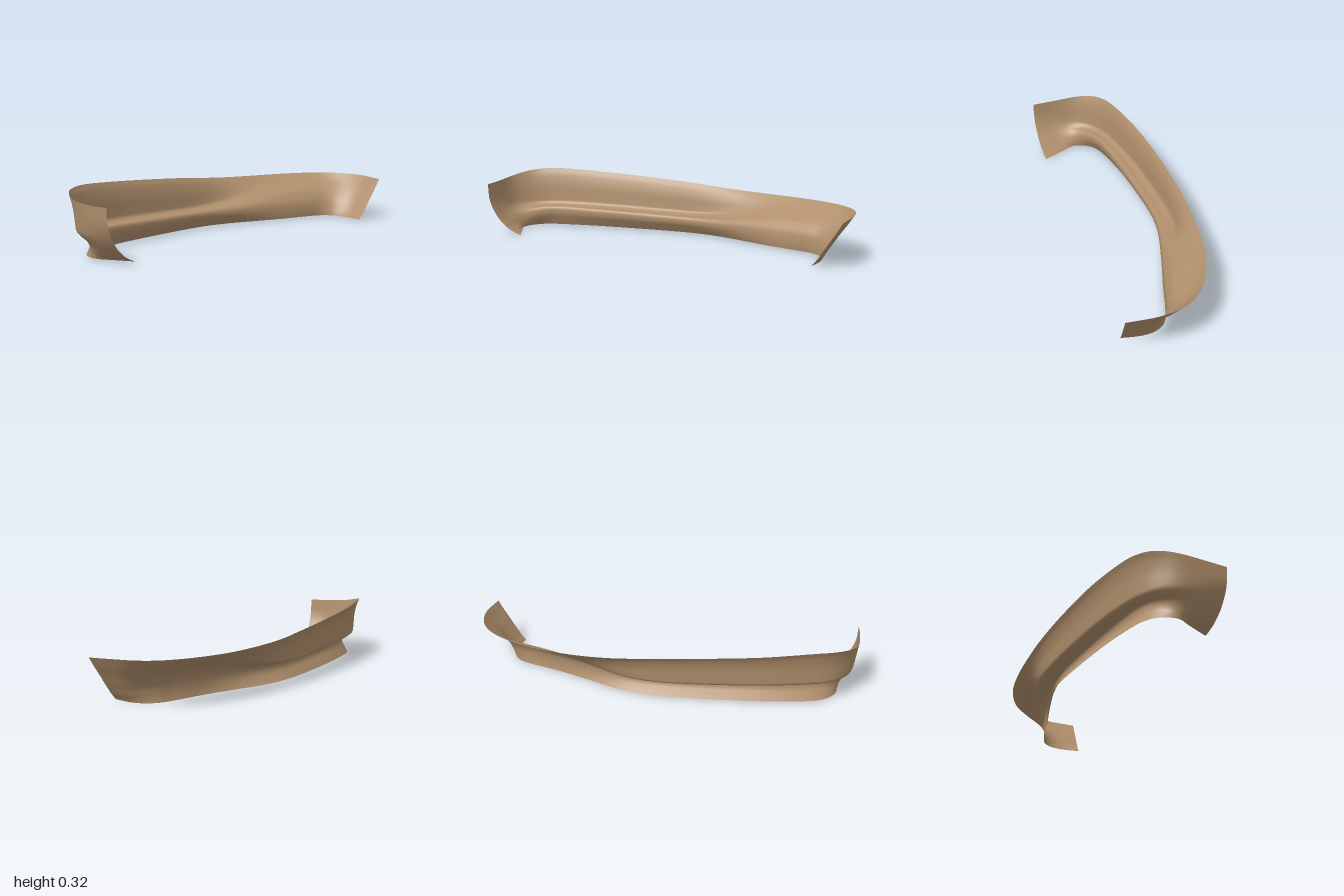
import * as THREE from 'three';

// Profiles from top edge to bottom edge: [inset 0..1, height as a fraction of the top]
const LEDGE = [[0, 1], [.15, .89], [.27, .71], [.32, .5], [.37, .4], [.6, .355], [.9, .35], [1, .3], [.98, .21], [.85, .12], [.68, .018]];
const SLOPE = [[0, 1], [.15, .91], [.32, .82], [.5, .75], [.65, .68], [.8, .6], [.9, .5], [.97, .4], [1, .27], [1, .13], [.98, .02]];
const LEFT_TIP = [[0, 1], [.1, .89], [.2, .78], [.32, .66], [.43, .55], [.53, .44], [.63, .34], [.73, .24], [.82, .15], [.92, .07], [1, 0]];
const RIGHT_TIP = [[0, 1], [.01, .85], [.03, .72], [.08, .6], [.16, .48], [.25, .38], [.36, .28], [.5, .19], [.65, .11], [.82, .05], [1, 0]];

// Stations along the lip: top x, z, y, inner x, z, two profiles and their blend
const STATIONS = [
  [-1, .135, .272, -.815, .125, RIGHT_TIP, LEDGE, 0],
  [-1, .02, .274, -.865, 0, RIGHT_TIP, LEDGE, .1],
  [-.985, -.1, .285, -.885, -.06, RIGHT_TIP, LEDGE, .4],
  [-.94, -.18, .302, -.86, -.115, RIGHT_TIP, LEDGE, .75],
  [-.87, -.235, .314, -.8, -.16, LEDGE, LEDGE, 0],
  [-.75, -.273, .318, -.7, -.185, LEDGE, LEDGE, 0],
  [-.5, -.31, .304, -.48, -.2, LEDGE, LEDGE, 0],
  [-.2, -.32, .285, -.2, -.205, LEDGE, LEDGE, 0],
  [.05, -.315, .267, .03, -.198, LEDGE, SLOPE, .05],
  [.25, -.3, .25, .2, -.165, LEDGE, SLOPE, .3],
  [.45, -.27, .241, .38, -.105, LEDGE, SLOPE, .75],
  [.65, -.22, .237, .55, -.045, SLOPE, SLOPE, 0],
  [.82, -.14, .236, .72, .015, SLOPE, SLOPE, 0],
  [.93, -.05, .235, .8, .055, SLOPE, LEFT_TIP, .2],
  [.985, .05, .234, .84, .115, SLOPE, LEFT_TIP, .55],
  [1, .17, .232, .845, .19, SLOPE, LEFT_TIP, .9],
  [.975, .32, .222, .825, .285, LEFT_TIP, LEFT_TIP, 0],
];

// One cross-section point at a station
function sectionPoint([tx, tz, ty, ix, iz, a, b, k], j) {
  const u = THREE.MathUtils.lerp(a[j][0], b[j][0], k);
  const h = THREE.MathUtils.lerp(a[j][1], b[j][1], k);
  return new THREE.Vector3(tx + (ix - tx) * u, ty * h, tz + (iz - tz) * u);
}

function lipGeometry(cols = 160, rows = 50) {
  // Lengthwise guide curves, one per profile point
  const guides = LEDGE.map((_, j) =>
    new THREE.CatmullRomCurve3(STATIONS.map(s => sectionPoint(s, j)), false, 'catmullrom', 0.5));
  const positions = [], indices = [];
  for (let i = 0; i <= cols; i++) {
    const section = new THREE.CatmullRomCurve3(guides.map(g => g.getPoint(i / cols)), false, 'catmullrom', 0.5);
    for (let j = 0; j <= rows; j++) {
      const p = section.getPoint(j / rows);
      positions.push(p.x, Math.max(0, p.y), p.z);
      if (i < cols && j < rows) {
        const a = i * (rows + 1) + j, b = a + rows + 1;
        indices.push(a, a + 1, b, b, a + 1, b + 1);
      }
    }
  }
  const geo = new THREE.BufferGeometry();
  geo.setAttribute('position', new THREE.Float32BufferAttribute(positions, 3));
  geo.setIndex(indices);
  geo.computeVertexNormals();
  return geo;
}

export function createModel() {
  const tan = new THREE.MeshStandardMaterial({ color: 0xb08f6c, side: THREE.DoubleSide });
  tan.name = 'tan';
  const group = new THREE.Group();
  group.name = 'bumperLip';
  // Thin curved shell with a ledge fading towards its left end
  const lip = new THREE.Mesh(lipGeometry(), tan);
  lip.name = 'curvedLip';
  group.add(lip);
  return group;
}
